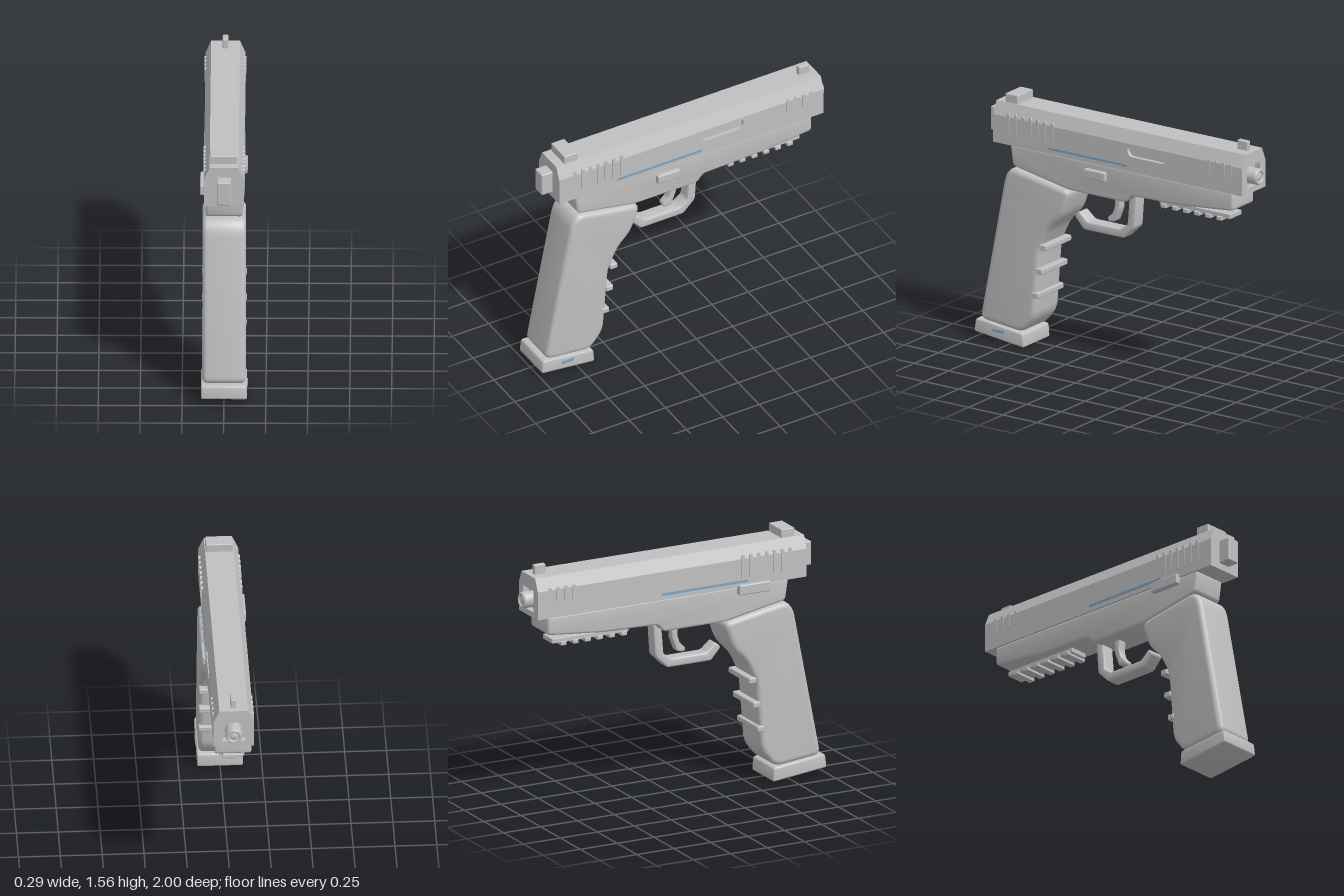
import * as THREE from 'three';
import { toCreasedNormals } from 'three/addons/utils/BufferGeometryUtils.js';
import { RoundedBoxGeometry } from 'three/addons/geometries/RoundedBoxGeometry.js';

const grey = new THREE.MeshStandardMaterial({ color: 0xc0c0c0 });
grey.name = 'light grey';
const blue = new THREE.MeshStandardMaterial({ color: 0x7aa4c6 });
blue.name = 'accent blue';

// Closed shape with its corners rounded by up to r
function roundedShape(points, r) {
  const pts = points.map(([a, b]) => new THREE.Vector2(a, b));
  const shape = new THREE.Shape();
  pts.forEach((p, i) => {
    const prev = pts[(i + pts.length - 1) % pts.length];
    const next = pts[(i + 1) % pts.length];
    const toward = (q) => p.clone().lerp(q, Math.min(0.45, r / p.distanceTo(q)));
    const a = toward(prev), b = toward(next);
    if (i === 0) shape.moveTo(a.x, a.y); else shape.lineTo(a.x, a.y);
    shape.quadraticCurveTo(p.x, p.y, b.x, b.y);
  });
  shape.closePath();
  return shape;
}

// Side silhouette (z, y) extruded across x from x0 to x1
function sideExtrude(shape, x0, x1, bevel = 0, segments = 3) {
  const geo = new THREE.ExtrudeGeometry(shape, {
    depth: x1 - x0 - 2 * bevel, bevelEnabled: bevel > 0, bevelThickness: bevel,
    bevelSize: bevel, bevelOffset: -bevel, bevelSegments: segments, curveSegments: 6,
  });
  geo.rotateY(-Math.PI / 2);
  geo.translate(x1 - bevel, 0, 0);
  return toCreasedNormals(geo, 0.6);
}

// Pill-shaped outline between two corners in (z, y)
function pill(z0, z1, y0, y1) {
  const r = Math.min(z1 - z0, y1 - y0) / 2;
  const s = new THREE.Shape();
  s.absarc(z1 - r, y1 - r, r, 0, Math.PI / 2);
  s.absarc(z0 + r, y1 - r, r, Math.PI / 2, Math.PI);
  s.absarc(z0 + r, y0 + r, r, Math.PI, Math.PI * 1.5);
  s.absarc(z1 - r, y0 + r, r, Math.PI * 1.5, Math.PI * 2);
  s.closePath();
  return s;
}

function polygon(points) {
  return new THREE.Shape(points.map(([a, b]) => new THREE.Vector2(a, b)));
}

export function createModel() {
  const model = new THREE.Group();
  model.name = 'model';
  const add = (name, geo, mat = grey) => {
    const mesh = new THREE.Mesh(geo, mat);
    mesh.name = name;
    model.add(mesh);
    return mesh;
  };
  // Box given by its limits on each axis
  const box = (name, x0, x1, y0, y1, z0, z1, r = 0.006, mat = grey) => {
    const size = [x1 - x0, y1 - y0, z1 - z0];
    const geo = r > 0 ? new RoundedBoxGeometry(...size, 2, r) : new THREE.BoxGeometry(...size);
    add(name, geo, mat).position.set((x0 + x1) / 2, (y0 + y1) / 2, (z0 + z1) / 2);
  };
  const zExtrude = (shape, z0, z1) =>
    new THREE.ExtrudeGeometry(shape, { depth: z1 - z0, bevelEnabled: false }).translate(0, 0, z0);

  // Slide: core, right panel with the port opening, and recessed front end
  add('slideCore', zExtrude(polygon([
    [-0.12, 1.25], [0.095, 1.25], [0.095, 1.425], [0.12, 1.425],
    [0.086, 1.503], [-0.086, 1.503], [-0.12, 1.425],
  ]), -0.91, 0.87));
  const panel = polygon([[-0.91, 1.25], [0.87, 1.25], [0.87, 1.425], [-0.91, 1.425]]);
  panel.holes.push(pill(-0.4, -0.11, 1.345, 1.42));
  add('slidePortPanel', sideExtrude(panel, 0.095, 0.12));
  const front = polygon([
    [-0.12, 1.25], [0.12, 1.25], [0.12, 1.425], [0.086, 1.503], [-0.086, 1.503], [-0.12, 1.425],
  ]);
  front.holes.push(polygon([[-0.068, 1.285], [-0.068, 1.42], [0.068, 1.42], [0.068, 1.285]]));
  add('slideFront', zExtrude(front, -0.95, -0.91));
  box('backPlate', -0.042, 0.042, 1.29, 1.44, 0.86, 0.945, 0.008);

  // Barrel end with a rounded lip and a shallow domed centre
  const barrel = new THREE.LatheGeometry([
    [0.05, 0.9], [0.05, 0.985], [0.046, 0.996], [0.04, 1.0], [0.034, 0.996],
    [0.032, 0.985], [0.02, 0.993], [0, 0.997],
  ].map(([r, y]) => new THREE.Vector2(r, y)), 32);
  barrel.rotateX(-Math.PI / 2);
  add('barrel', barrel).position.y = 1.35;

  // Sights
  box('rearSight', -0.081, 0.081, 1.495, 1.555, 0.72, 0.812);
  box('frontSight', -0.017, 0.017, 1.495, 1.56, -0.915, -0.84);

  // Raised ribs and blue line on both sides of the slide
  for (const side of [-1, 1]) {
    const span = side > 0 ? [0.1, 0.124] : [-0.124, -0.1];
    for (let i = 0; i < 7; i++) {
      const z = 0.76 - i * 0.0533;
      add('rearRib', sideExtrude(pill(z - 0.01, z + 0.01, 1.3, 1.448), ...span));
    }
    for (let i = 0; i < 4; i++) {
      const z = -0.705 - i * 0.0535;
      add('frontRib', sideExtrude(pill(z - 0.01, z + 0.01, 1.345, 1.44), ...span));
    }
    const line = side > 0 ? [0.118, 0.124] : [-0.124, -0.118];
    box('accentLine', ...line, 1.278, 1.292, -0.11, 0.47, 0, blue);
  }

  // Frame under the slide
  add('frame', sideExtrude(roundedShape([
    [0.755, 1.255], [-0.875, 1.255], [-0.875, 1.14], [-0.5, 1.103], [-0.13, 1.093],
    [-0.09, 1.045], [0.33, 1.045], [0.735, 1.12],
  ], 0.022), -0.111, 0.111, 0.015));

  // Grip with softened edges
  add('grip', sideExtrude(roundedShape([
    [0.735, 1.115], [0.31, 1.04], [0.37, 0.87], [0.465, 0.775], [0.53, 0.64],
    [0.565, 0.2], [0.655, 0.09], [0.968, 0.122], [0.785, 1.06],
  ], 0.05), -0.13, 0.13, 0.03, 4));
  [[0.655, 0.495], [0.5, 0.523], [0.345, 0.552]].forEach(([y, z]) =>
    box('gripRidge', -0.134, 0.134, y - 0.018, y + 0.018, z - 0.02, z + 0.03, 0.008));

  // Base plate of the grip
  add('basePlate', sideExtrude(roundedShape([
    [0.988, 0.125], [0.643, 0.088], [0.635, 0.0], [1.0, 0.04],
  ], 0.016), -0.137, 0.137, 0.01));
  box('basePlateMark', 0.135, 0.142, 0.064, 0.083, 0.78, 0.86, 0, blue);

  // Trigger and its guard
  add('triggerGuard', sideExtrude(roundedShape([
    [-0.126, 1.1], [-0.11, 0.873], [-0.03, 0.793], [0.265, 0.793], [0.332, 0.868],
    [0.298, 0.902], [0.233, 0.846], [-0.003, 0.846], [-0.056, 0.884], [-0.07, 1.06],
  ], 0.015), -0.045, 0.045, 0.01));
  add('trigger', sideExtrude(roundedShape([
    [0.053, 1.06], [0.008, 1.06], [0.011, 0.965], [0.043, 0.88], [0.094, 0.87],
    [0.1, 0.895], [0.063, 0.93], [0.047, 0.98],
  ], 0.012), -0.028, 0.028, 0.007));

  // Side controls
  box('rightButton', 0.1, 0.138, 1.155, 1.212, 0.045, 0.198, 0.008);
  box('leftLever', -0.144, -0.1, 1.205, 1.268, 0.405, 0.615, 0.008);

  // Accessory rail under the frame
  box('rail', -0.06, 0.06, 1.066, 1.096, -0.82, -0.303, 0.004);
  for (let i = 0; i < 6; i++) {
    const z = -0.34 - i * 0.0815;
    box('railTooth', -0.075, 0.075, 1.05, 1.074, z - 0.019, z + 0.019, 0.004);
  }
  return model;
}
